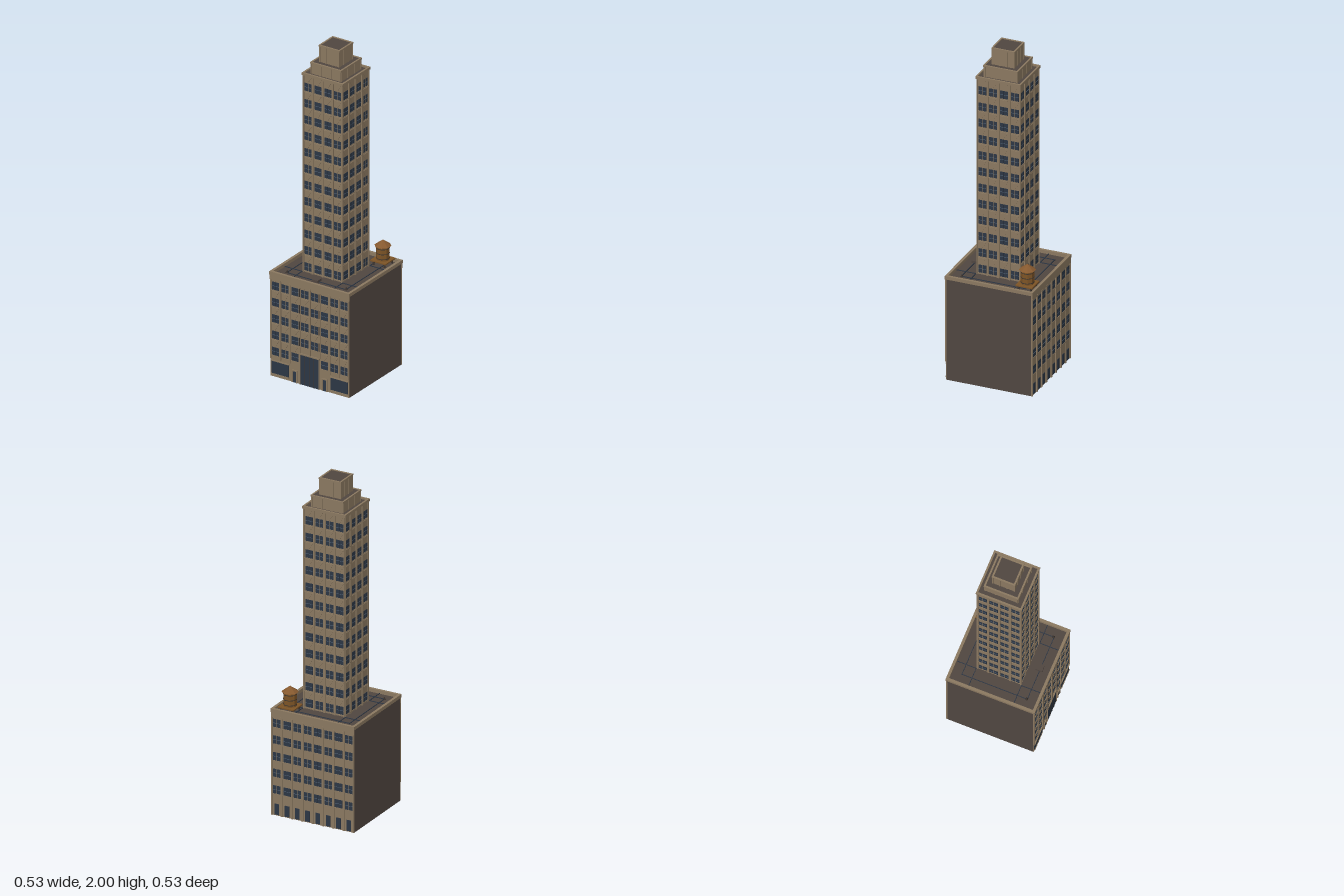
import * as THREE from 'three';
import { mergeGeometries } from 'three/addons/utils/BufferGeometryUtils.js';

const BAY = 0.0655;   // width of one window bay
const FLOOR = 0.1;    // storey height
const WIN_H = 0.048;

const paint = (name, color) => {
  const m = new THREE.MeshStandardMaterial({ color });
  m.name = name;
  return m;
};

export function createModel() {
  const stone = paint('tan stone', 0x8a7860);
  const brick = paint('dark brick', 0x504640);
  const glass = paint('navy glass', 0x2c3644);
  const metal = paint('dark metal', 0x3c3530);
  const bars = paint('slate glazing bars', 0x55667a);
  const wood = paint('tank wood', 0x7d5426);
  const tankTop = paint('tank roof', 0x86592f);

  const model = new THREE.Group();
  model.name = 'tower building';

  // Box given by its extents
  const box = (x0, x1, y0, y1, z0, z1) =>
    new THREE.BoxGeometry(x1 - x0, y1 - y0, z1 - z0)
      .translate((x0 + x1) / 2, (y0 + y1) / 2, (z0 + z1) / 2);

  const add = (parent, name, geos, material) => {
    const mesh = new THREE.Mesh(Array.isArray(geos) ? mergeGeometries(geos) : geos, material);
    mesh.name = name;
    parent.add(mesh);
    return mesh;
  };

  // Square rim with an open middle
  const rim = (outer, inner, y0, y1) => [
    box(-outer, outer, y0, y1, inner, outer),
    box(-outer, outer, y0, y1, -outer, -inner),
    box(inner, outer, y0, y1, -inner, inner),
    box(-outer, -inner, y0, y1, -inner, inner)
  ];

  // Raised pendant triangle above a window
  const pendant = (x, y, z) => {
    const s = new THREE.Shape();
    s.moveTo(-0.024, 0);
    s.lineTo(0, -0.038);
    s.lineTo(0.024, 0);
    return new THREE.ExtrudeGeometry(s, { depth: 0.004, bevelEnabled: false }).translate(x, y, z);
  };

  // Window wall facing +z: piers, sills, panes, bars and optional pendants
  function facade(name, { bays, rows, firstY, y0, y1, z, pendants, skip }) {
    const g = new THREE.Group();
    g.name = name;
    const panes = [], glazing = [], piers = [], sills = [], reliefs = [];
    const half = bays * BAY / 2;
    for (let b = 0; b <= bays; b++) {
      const x = -half + b * BAY;
      const w = 0.006;
      const low = skip && skip(x, y0) ? 0.19 : y0;
      piers.push(box(Math.max(x - w, -half), Math.min(x + w, half), low, y1, z, z + 0.006));
    }
    for (let r = 0; r < rows; r++) {
      const y = firstY + r * FLOOR;
      const bottom = Math.max(y - WIN_H / 2, y0);
      const top = y + WIN_H / 2;
      for (let b = 0; b < bays; b++) {
        const x = -half + (b + 0.5) * BAY;
        if (skip && skip(x, y)) continue;
        for (const s of [-1, 1]) {
          const c = x + s * 0.0125;
          panes.push(box(c - 0.0112, c + 0.0112, bottom, top, z, z + 0.0015));
          glazing.push(box(c - 0.0112, c + 0.0112, y - 0.001, y + 0.001, z + 0.001, z + 0.0025));
        }
        sills.push(box(x - 0.026, x + 0.026, bottom - 0.005, bottom, z, z + 0.004));
        if (pendants) reliefs.push(pendant(x, y + 0.068, z));
      }
    }
    add(g, 'windowPanes', panes, glass);
    add(g, 'glazingBars', glazing, bars);
    add(g, 'piers', piers, stone);
    add(g, 'windowSills', sills, stone);
    if (pendants) add(g, 'pendantReliefs', reliefs, stone);
    return g;
  }

  // ---- Base block: blank brick sides, stone front and back ----
  const base = new THREE.Group();
  base.name = 'base';
  model.add(base);
  add(base, 'baseCore', box(-0.262, 0.262, 0, 0.62, -0.256, 0.256), brick);
  add(base, 'stoneFaces', [-1, 1].map(s =>
    box(-0.262, 0.262, 0, 0.62, s * 0.2575 - 0.0015, s * 0.2575 + 0.0015)), stone);
  add(base, 'parapet', rim(0.266, 0.25, 0.62, 0.64), stone);
  add(base, 'parapetBand', [-1, 1].map(s =>
    box(-0.264, 0.264, 0.59, 0.622, s * 0.26 - 0.004, s * 0.26 + 0.004)), stone);

  const nearDoor = (x, y) => Math.abs(x) < 0.066 && y < 0.2;
  const front = facade('baseFront', {
    bays: 8, rows: 5, firstY: 0.155, y0: 0.11, y1: 0.6, z: 0.259, pendants: true, skip: nearDoor
  });
  const back = facade('baseBack', {
    bays: 8, rows: 5, firstY: 0.155, y0: 0, y1: 0.6, z: 0.259, pendants: false
  });
  back.rotation.y = Math.PI;
  base.add(front, back);

  // Street level: shop windows, entrance, side doors and lamps
  const shops = [], frames = [], sideDoors = [], lamps = [];
  for (const s of [-1, 1]) {
    const at = (x, w, y0, y1, z1) => box(s * x - w, s * x + w, y0, y1, 0.259, z1);
    shops.push(at(0.197, 0.057, 0.02, 0.095, 0.262));
    frames.push(at(0.197, 0.06, 0.095, 0.1, 0.265), at(0.197, 0.06, 0.014, 0.02, 0.265));
    sideDoors.push(at(0.1, 0.012, 0, 0.065, 0.262));
    frames.push(at(0.085, 0.003, 0, 0.075, 0.265), at(0.115, 0.003, 0, 0.075, 0.265));
    frames.push(at(0.1, 0.018, 0.07, 0.076, 0.265), at(0.064, 0.003, 0, 0.185, 0.265));
    for (let r = 0; r < 4; r++) lamps.push(at(0.0655, 0.003, 0.235 + r * 0.1, 0.285 + r * 0.1, 0.267));
  }
  frames.push(box(-0.067, 0.067, 0.182, 0.19, 0.259, 0.266));
  add(base, 'shopWindows', shops, glass);
  add(base, 'streetFrames', frames, stone);
  add(base, 'sideDoors', sideDoors, glass);
  add(base, 'wallBrackets', lamps, metal);
  add(base, 'entrance', box(-0.06, 0.06, 0, 0.182, 0.259, 0.2625), glass);
  add(base, 'entranceBars', [-0.03, 0, 0.03].map(x =>
    box(x - 0.001, x + 0.001, 0, 0.182, 0.262, 0.264)), metal);
  add(base, 'backDoors', Array.from({ length: 8 }, (_, i) => {
    const x = (i - 3.5) * BAY;
    return box(x - 0.014, x + 0.014, 0.005, 0.07, -0.262, -0.259);
  }), glass);

  // ---- Roof fittings ----
  const roof = new THREE.Group();
  roof.name = 'roofFittings';
  model.add(roof);
  const pipes = [];
  const pipe = (x0, x1, z0, z1) =>
    pipes.push(box(x0 - 0.0017, x1 + 0.0017, 0.62, 0.624, z0 - 0.0017, z1 + 0.0017));
  for (const s of [-1, 1]) {
    pipe(s * 0.197, s * 0.197, -0.197, 0.193);
    pipe(-0.197, 0.197, s * 0.195, s * 0.195);
    for (const t of [-1, 1]) {
      pipe(s * 0.135, s * 0.135, t > 0 ? 0.135 : -0.25, t > 0 ? 0.25 : -0.135);
      pipe(t > 0 ? 0.135 : -0.25, t > 0 ? 0.25 : -0.135, s * 0.135, s * 0.135);
    }
  }
  add(roof, 'roofPipes', pipes, glass);
  add(roof, 'roofHatch', box(-0.019, 0.019, 0.62, 0.634, 0.173, 0.211), brick);
  add(roof, 'roofVents', [-1, 1].map(s =>
    new THREE.ConeGeometry(0.0105, 0.016, 4).rotateY(Math.PI / 4)
      .translate(s * 0.197, 0.628, 0.192)), metal);

  // ---- Water tank ----
  const tank = new THREE.Group();
  tank.name = 'waterTank';
  tank.position.set(0.18, 0.62, -0.197);
  model.add(tank);
  const legs = [];
  for (const x of [-0.037, 0.037])
    for (const z of [-0.037, 0.037]) legs.push(box(x - 0.004, x + 0.004, 0, 0.026, z - 0.004, z + 0.004));
  add(tank, 'tankLegs', legs, metal);
  add(tank, 'tankPlatform', box(-0.051, 0.051, 0.024, 0.031, -0.051, 0.051), wood);
  const octagon = (r, h, y) => new THREE.CylinderGeometry(r, r, h, 8).rotateY(Math.PI / 8).translate(0, y, 0);
  const barrel = add(tank, 'tankBarrel', octagon(0.038, 0.086, 0.073).toNonIndexed(), wood);
  barrel.geometry.computeVertexNormals();
  add(tank, 'tankHoops', [0.042, 0.072, 0.102].map(y => octagon(0.0395, 0.004, y)), metal);
  const cone = new THREE.ConeGeometry(0.048, 0.035, 8).rotateY(Math.PI / 8).translate(0, 0.132, 0).toNonIndexed();
  cone.computeVertexNormals();
  add(tank, 'tankRoof', cone, tankTop);

  // ---- Tower shaft: the same window wall on all four sides ----
  const tower = new THREE.Group();
  tower.name = 'tower';
  model.add(tower);
  add(tower, 'towerCore', box(-0.128, 0.128, 0.62, 1.825, -0.128, 0.128), stone);
  for (let i = 0; i < 4; i++) {
    const f = facade('towerSide', {
      bays: 4, rows: 12, firstY: 0.655, y0: 0.62, y1: 1.83, z: 0.128, pendants: true
    });
    f.rotation.y = i * Math.PI / 2;
    tower.add(f);
  }
  add(tower, 'towerCornice', rim(0.137, 0.126, 1.825, 1.84), stone);
  add(tower, 'towerRoof', box(-0.127, 0.127, 1.825, 1.83, -0.127, 0.127), brick);

  // ---- Stepped crown ----
  const crownTier = (name, r, y0, y1) => {
    const g = new THREE.Group();
    g.name = name;
    model.add(g);
    add(g, 'tierBody', box(-r, r, y0, y1 - 0.007, -r, r), stone);
    add(g, 'tierRim', rim(r + 0.004, r - 0.006, y1 - 0.009, y1), stone);
    add(g, 'tierRoof', box(-r + 0.005, r - 0.005, y1 - 0.008, y1 - 0.003, -r + 0.005, r - 0.005), brick);
    const ribs = [];
    for (let side = 0; side < 4; side++)
      for (const k of [-0.96, -0.33, 0.33, 0.96])
        ribs.push(box(k * r - 0.003, k * r + 0.003, y0, y1 - 0.007, r, r + 0.003).rotateY(side * Math.PI / 2));
    add(g, 'tierRibs', ribs, stone);
  };
  crownTier('lowerCrown', 0.1, 1.828, 1.9);
  crownTier('upperCrown', 0.066, 1.895, 2.0);

  return model;
}
